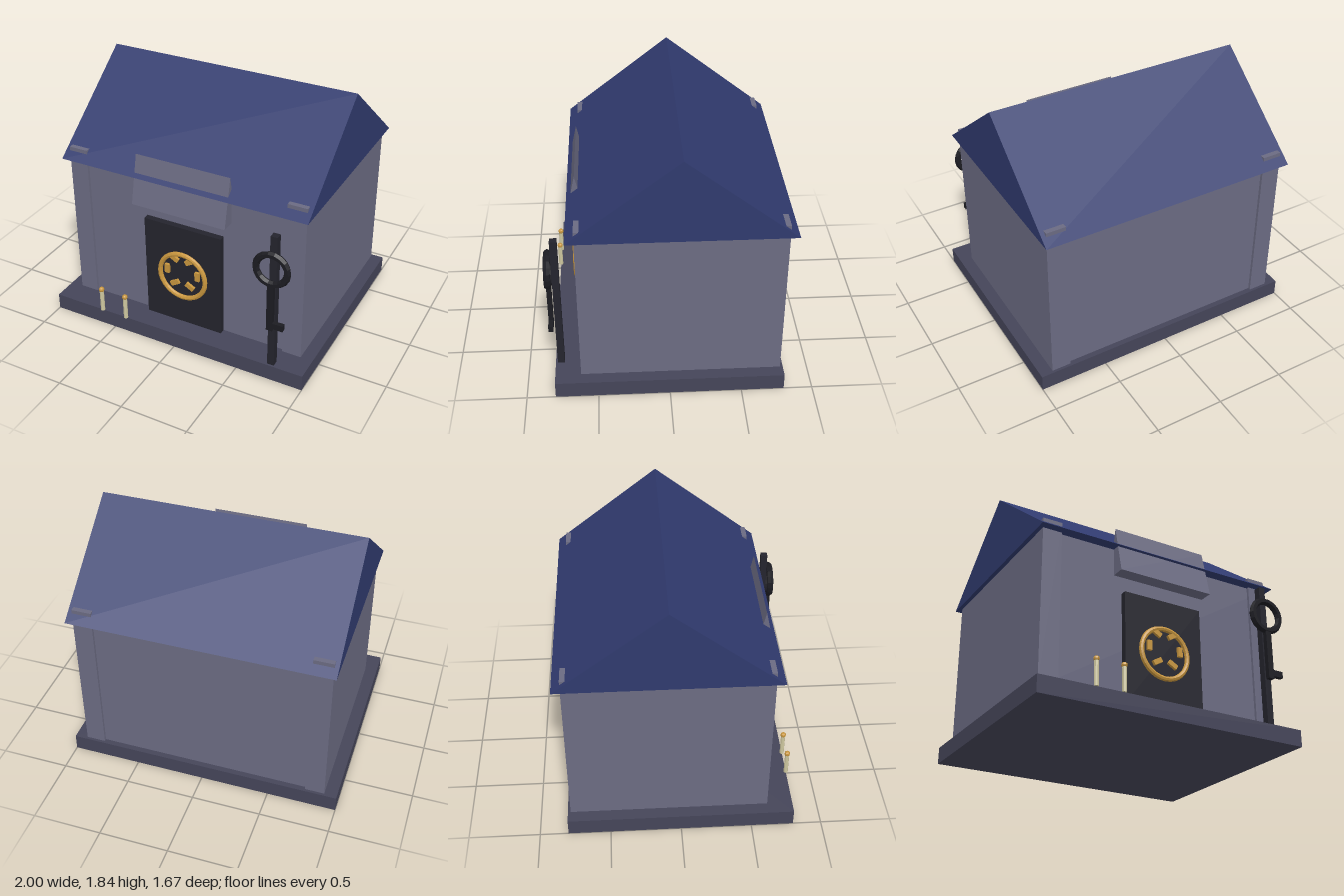
import * as THREE from 'three';

const mat = (name, color) => {
  const m = new THREE.MeshStandardMaterial({ color, flatShading: true });
  m.name = name;
  return m;
};

export function createModel() {
  const stone = mat('grey stone', 0x6b6b82);
  const plinth = mat('dark stone', 0x454559);
  const blue = mat('blue roof', 0x303a6e);
  const iron = mat('dark iron', 0x24242d);
  const black = mat('black iron', 0x1c1c22);
  const gold = mat('gold', 0xc8963e);
  const cream = mat('cream', 0xcfc8a0);

  const model = new THREE.Group();
  model.name = 'vaultHouse';

  const add = (name, geometry, material, x = 0, y = 0, z = 0, parent = model) => {
    const mesh = new THREE.Mesh(geometry, material);
    mesh.name = name;
    mesh.position.set(x, y, z);
    parent.add(mesh);
    return mesh;
  };

  // Box given by its limits on each axis
  const box = (name, material, [x0, x1], [y0, y1], [z0, z1], parent) =>
    add(name, new THREE.BoxGeometry(x1 - x0, y1 - y0, z1 - z0), material,
      (x0 + x1) / 2, (y0 + y1) / 2, (z0 + z1) / 2, parent);

  // Triangular prism running along x, with its base at y0
  const prism = (name, material, halfX, halfZ, y0, y1, z) => {
    const shape = new THREE.Shape();
    shape.moveTo(-halfZ, y0);
    shape.lineTo(halfZ, y0);
    shape.lineTo(0, y1);
    shape.closePath();
    const geometry = new THREE.ExtrudeGeometry(shape, { depth: 2 * halfX, bevelEnabled: false });
    geometry.translate(0, 0, -halfX).rotateY(Math.PI / 2);
    return add(name, geometry, material, 0, 0, z);
  };

  // Plinth, walls and roof
  box('plinth', plinth, [-1, 1], [0, 0.12], [-0.8, 0.8]);
  box('walls', stone, [-0.91, 0.91], [0.12, 1.25], [-0.76, 0.6]);
  prism('roof', blue, 0.94, 0.76, 1.245, 1.837, -0.08);

  // Corner pillars, whose tops break through the roof
  for (const x of [-0.84, 0.84]) {
    for (const z of [-0.71, 0.55]) {
      box('cornerPillar', stone, [x - 0.07, x + 0.07], [0.12, 1.32], [z - 0.07, z + 0.07]);
    }
  }

  // Wedge over the entrance
  prism('entranceWedge', stone, 0.36, 0.08, 1.045, 1.4, 0.62);

  // Vault door with hand wheel and bolts
  box('door', iron, [-0.3, 0.3], [0.12, 0.92], [0.59, 0.645]);
  add('doorWheel', new THREE.TorusGeometry(0.18, 0.018, 8, 32), gold, 0, 0.525, 0.652);
  for (let i = 0; i < 6; i++) {
    const a = (i * Math.PI) / 3;
    const bolt = add('doorBolt', new THREE.BoxGeometry(0.035, 0.07, 0.03), gold,
      0.12 * Math.cos(a), 0.56 + 0.12 * Math.sin(a), 0.65);
    bolt.rotation.z = -a;
  }

  // Sign post carrying a large key
  box('signPost', iron, [0.732, 0.782], [0.12, 1.16], [0.737, 0.786]);
  const key = new THREE.Group();
  key.name = 'keySign';
  model.add(key);
  add('keyRing', new THREE.TorusGeometry(0.113, 0.025, 6, 18), black, 0.757, 0.925, 0.81, key);
  box('keyShaft', black, [0.735, 0.779], [0.445, 0.81], [0.795, 0.828], key);
  box('keyTooth', black, [0.775, 0.855], [0.465, 0.51], [0.795, 0.828], key);

  // Bollards with gold knobs
  for (const x of [-0.6, -0.4]) {
    add('bollard', new THREE.CylinderGeometry(0.016, 0.016, 0.17, 8), cream, x, 0.205, 0.8);
    add('bollardKnob', new THREE.SphereGeometry(0.021, 8, 6), gold, x, 0.302, 0.8);
  }

  return model;
}
